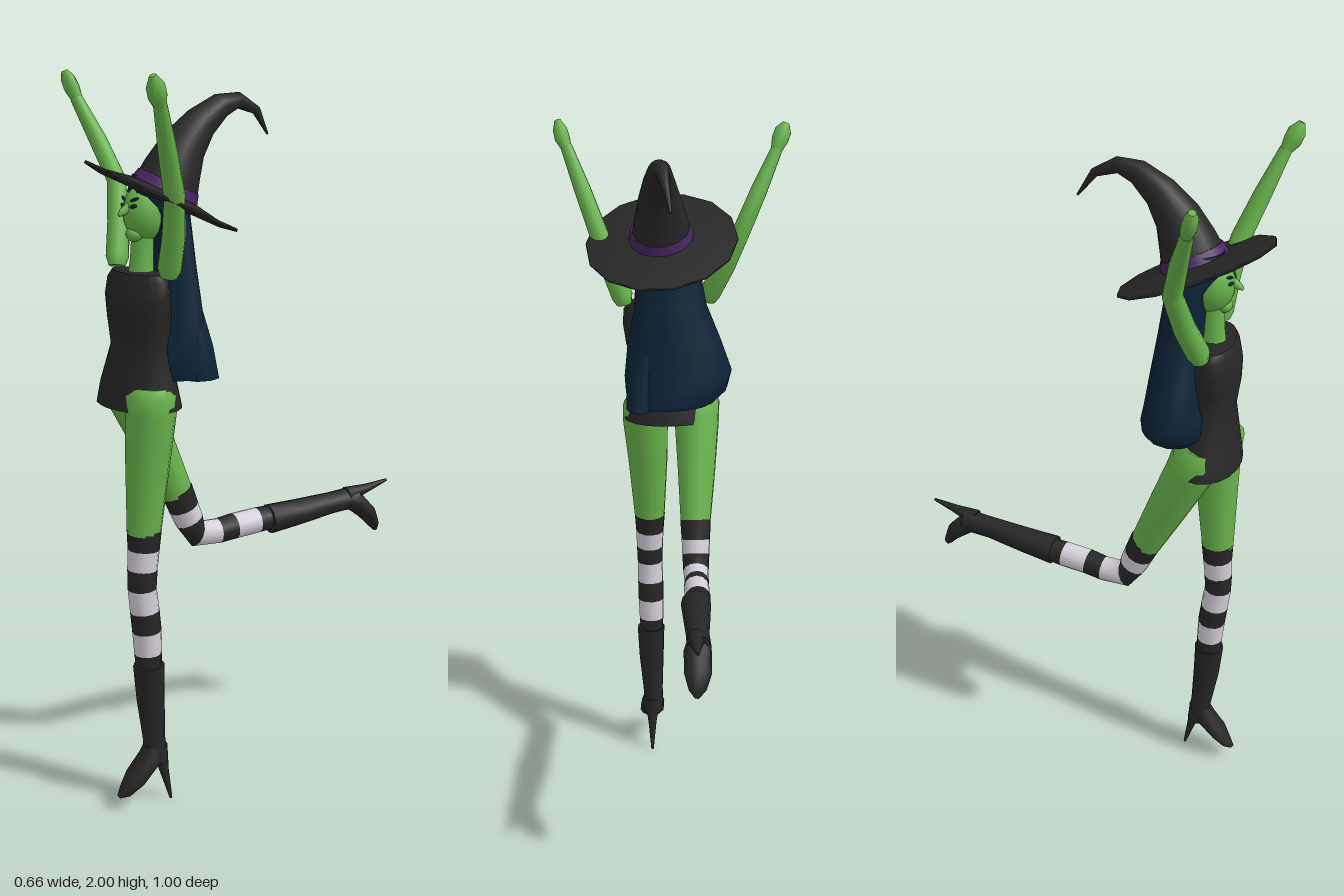
import * as THREE from 'three';

const mat = (name, color, side = THREE.FrontSide) => {
  const m = new THREE.MeshStandardMaterial({ color, side });
  m.name = name;
  return m;
};

// Loft through stations [x, y, z, rSide, rDepth = rSide]; flat keeps the rings level.
// mats is one material, or one material per span for stripes.
function loft(name, stations, mats, { sides = 12, flat = false } = {}) {
  const pos = [], index = [], groups = [];
  const list = Array.isArray(mats) ? mats : [mats];
  const pts = stations.map(s => new THREE.Vector3(s[0], s[1], s[2]));
  const n = pts.length;
  const ring = (i) => {
    const t = pts[Math.min(i + 1, n - 1)].clone().sub(pts[Math.max(i - 1, 0)]);
    if (flat) t.set(0, Math.sign(t.y), 0);
    t.normalize();
    const u = new THREE.Vector3(1, 0, 0).addScaledVector(t, -t.x).normalize();
    const v = t.clone().cross(u);
    const [, , , ru, rv = ru] = stations[i];
    for (let j = 0; j < sides; j++) {
      const a = j / sides * Math.PI * 2;
      const p = pts[i].clone().addScaledVector(u, Math.cos(a) * ru).addScaledVector(v, Math.sin(a) * rv);
      pos.push(p.x, p.y, p.z);
    }
  };
  const cap = (i, first) => {
    const base = pos.length / 3;
    ring(i);
    pos.push(...pts[i].toArray());
    for (let j = 0; j < sides; j++) {
      const a = base + j, b = base + (j + 1) % sides;
      index.push(base + sides, ...(first ? [b, a] : [a, b]));
    }
  };
  for (let i = 0; i < n; i++) ring(i);
  for (let i = 0; i < n - 1; i++) {
    const start = index.length;
    for (let j = 0; j < sides; j++) {
      const k = (j + 1) % sides;
      const a = i * sides + j, b = i * sides + k, c = a + sides, d = b + sides;
      index.push(a, b, d, a, d, c);
    }
    if (i === 0) cap(0, true);
    if (i === n - 2) cap(n - 1, false);
    groups.push([start, index.length - start, Math.min(i, list.length - 1)]);
  }
  const g = new THREE.BufferGeometry();
  g.setAttribute('position', new THREE.Float32BufferAttribute(pos, 3));
  g.setIndex(index);
  g.computeVertexNormals();
  if (list.length > 1) groups.forEach(q => g.addGroup(...q));
  const mesh = new THREE.Mesh(g, list.length > 1 ? list : mats);
  mesh.name = name;
  return mesh;
}

function ball(name, material, [x, y, z], [sx, sy, sz]) {
  const m = new THREE.Mesh(new THREE.SphereGeometry(1, 14, 10), material);
  m.position.set(x, y, z);
  m.scale.set(sx, sy, sz);
  m.name = name;
  return m;
}

export function createModel() {
  const model = new THREE.Group();
  model.name = 'witch';
  const skin = mat('green skin', 0x68b34b);
  const black = mat('black cloth', 0x262626);
  const white = mat('white stocking', 0xd6d0da);
  const hairBlue = mat('dark blue hair', 0x0b2337);
  const purple = mat('purple band', 0x4b2463);
  const add = (...parts) => model.add(...parts);

  // Dress
  add(loft('dress', [
    [0.015, 1.14, 0.34, 0.143, 0.098], [0.015, 1.19, 0.34, 0.13, 0.09], [0.03, 1.3, 0.345, 0.098, 0.064],
    [0.035, 1.37, 0.35, 0.112, 0.066], [0.035, 1.43, 0.352, 0.12, 0.064], [0.035, 1.475, 0.35, 0.117, 0.055],
    [0.035, 1.495, 0.35, 0.1, 0.045],
  ], black, { sides: 20, flat: true }));

  // Thighs, whose hips show through the torn hem
  add(loft('leftThigh', [
    [0.095, 1.2, 0.355, 0.05], [0.095, 1.18, 0.356, 0.064, 0.072], [0.092, 1.13, 0.355, 0.068],
    [0.085, 1.0, 0.362, 0.06], [0.08, 0.8, 0.375, 0.046],
  ], skin));
  add(loft('rightThigh', [
    [-0.06, 1.215, 0.335, 0.05], [-0.06, 1.185, 0.327, 0.068], [-0.056, 1.13, 0.31, 0.067],
    [-0.045, 1.0, 0.253, 0.057], [-0.03, 0.85, 0.188, 0.045],
  ], skin));

  // Striped stockings
  const stripes = Array.from({ length: 7 }, (_, i) => (i % 2 ? white : black));
  add(loft('leftStocking', [
    [0.08, 0.81, 0.374, 0.047], [0.08, 0.755, 0.377, 0.043], [0.08, 0.7, 0.382, 0.041], [0.08, 0.645, 0.384, 0.039],
    [0.08, 0.58, 0.377, 0.04], [0.08, 0.52, 0.371, 0.04], [0.08, 0.455, 0.368, 0.038], [0.08, 0.4, 0.366, 0.035],
  ], stripes));
  add(loft('rightStocking', [
    [-0.03, 0.86, 0.19, 0.046], [-0.027, 0.805, 0.168, 0.043], [-0.024, 0.765, 0.152, 0.041],
    [-0.02, 0.72, 0.128, 0.038], [-0.01, 0.717, 0.06, 0.036], [0, 0.724, 0.01, 0.037],
    [0.01, 0.729, -0.065, 0.037], [0.02, 0.732, -0.12, 0.034],
  ], stripes));

  // Boots: shaft, pointed foot and spike heel
  add(loft('leftBoot', [
    [0.082, 0.42, 0.368, 0.043], [0.082, 0.32, 0.364, 0.039], [0.08, 0.2, 0.354, 0.031], [0.08, 0.125, 0.348, 0.033],
  ], black));
  add(loft('leftFoot', [
    [0.08, 0.19, 0.348, 0.026], [0.08, 0.14, 0.368, 0.038, 0.031], [0.075, 0.09, 0.415, 0.039, 0.024],
    [0.068, 0.055, 0.445, 0.025, 0.014], [0.064, 0.042, 0.464, 0.006],
  ], black));
  add(loft('leftHeel', [[0.085, 0.17, 0.342, 0.025], [0.088, 0.09, 0.326, 0.013], [0.092, 0, 0.307, 0.004]], black));
  add(loft('rightBoot', [
    [0.022, 0.728, -0.1, 0.043], [0.038, 0.735, -0.2, 0.038], [0.056, 0.745, -0.31, 0.032], [0.067, 0.75, -0.395, 0.033],
  ], black));
  add(loft('rightFoot', [
    [0.065, 0.752, -0.35, 0.026], [0.07, 0.738, -0.39, 0.038, 0.031], [0.078, 0.695, -0.435, 0.037, 0.024],
    [0.083, 0.658, -0.456, 0.024, 0.014], [0.086, 0.638, -0.464, 0.006],
  ], black));
  add(loft('rightHeel', [[0.068, 0.762, -0.36, 0.025], [0.08, 0.774, -0.43, 0.013], [0.09, 0.789, -0.5, 0.004]], black));

  // Raised arms with hands
  add(loft('rightArm', [
    [-0.093, 1.492, 0.33, 0.022], [-0.098, 1.515, 0.325, 0.031], [-0.135, 1.6, 0.295, 0.03], [-0.18, 1.71, 0.27, 0.026],
    [-0.23, 1.81, 0.292, 0.024], [-0.287, 1.92, 0.322, 0.017],
  ], skin));
  add(loft('rightHand', [
    [-0.284, 1.915, 0.32, 0.015], [-0.297, 1.945, 0.328, 0.024, 0.02], [-0.308, 1.97, 0.334, 0.024, 0.018],
    [-0.317, 1.99, 0.338, 0.01],
  ], skin));
  add(loft('leftArm', [
    [0.152, 1.492, 0.335, 0.022], [0.157, 1.515, 0.335, 0.031], [0.188, 1.6, 0.343, 0.03], [0.22, 1.7, 0.362, 0.027],
    [0.255, 1.81, 0.405, 0.024], [0.293, 1.925, 0.452, 0.017],
  ], skin));
  add(loft('leftHand', [
    [0.292, 1.92, 0.45, 0.015], [0.302, 1.945, 0.465, 0.022, 0.024], [0.307, 1.97, 0.475, 0.02, 0.024],
    [0.312, 1.993, 0.485, 0.009],
  ], skin));

  // Neck, head and face
  add(loft('neck', [[0.033, 1.47, 0.34, 0.035], [0.034, 1.53, 0.335, 0.031], [0.036, 1.61, 0.33, 0.031]], skin));
  add(ball('head', skin, [0.038, 1.645, 0.325], [0.056, 0.075, 0.062]));
  add(ball('chin', skin, [0.038, 1.592, 0.36], [0.024, 0.02, 0.023]));
  add(loft('nose', [[0.038, 1.662, 0.375, 0.013], [0.038, 1.65, 0.395, 0.011], [0.038, 1.642, 0.407, 0.004]], skin, { sides: 8 }));
  for (const s of [-1, 1]) {
    const eye = ball('eye', hairBlue, [0.038 + s * 0.025, 1.665, 0.379], [0.011, 0.005, 0.004]);
    const brow = ball('eyebrow', hairBlue, [0.038 + s * 0.025, 1.682, 0.375], [0.015, 0.004, 0.004]);
    eye.rotation.set(0, s * 0.4, s * 0.2);
    brow.rotation.set(0, s * 0.4, s * 0.3);
    add(eye, brow);
  }

  // Long hair flaring behind the back
  add(loft('hair', [
    [0.038, 1.74, 0.285, 0.06, 0.07], [0.038, 1.695, 0.285, 0.08, 0.08], [0.037, 1.64, 0.268, 0.087, 0.058],
    [0.03, 1.5, 0.255, 0.105, 0.062], [0.02, 1.4, 0.255, 0.135, 0.075], [0.007, 1.3, 0.26, 0.158, 0.092],
    [0.012, 1.25, 0.26, 0.15, 0.102], [0.03, 1.215, 0.255, 0.125, 0.095],
  ], hairBlue, { sides: 14, flat: true }));
  // Drooping lock at the left
  add(loft('hairLock', [
    [0.1, 1.4, 0.25, 0.04, 0.05], [0.12, 1.3, 0.235, 0.045, 0.055], [0.13, 1.21, 0.215, 0.037, 0.05],
  ], hairBlue, { sides: 8, flat: true }));

  // Hat: tilted brim and band, curling crown
  const hat = new THREE.Group();
  hat.name = 'hat';
  hat.position.set(0.05, 1.685, 0.28);
  hat.rotation.set(-0.41, 0, -0.16);
  const profile = [[0, -0.008], [0.1, -0.01], [0.17, -0.014], [0.217, -0.006], [0.215, 0.002], [0.16, 0.002], [0.09, 0.014], [0, 0.014]];
  const brim = new THREE.Mesh(new THREE.LatheGeometry(profile.map(p => new THREE.Vector2(...p)), 14), black);
  brim.name = 'brim';
  const band = new THREE.Mesh(new THREE.CylinderGeometry(0.084, 0.093, 0.032, 20), purple);
  band.position.y = 0.024;
  band.name = 'hatBand';
  hat.add(brim, band);
  add(hat);
  add(loft('hatCrown', [
    [0.052, 1.7, 0.272, 0.086], [0.057, 1.75, 0.252, 0.075], [0.064, 1.81, 0.222, 0.06], [0.072, 1.865, 0.175, 0.045],
    [0.08, 1.908, 0.115, 0.032], [0.083, 1.92, 0.06, 0.021], [0.083, 1.893, 0.0, 0.012], [0.077, 1.83, -0.043, 0.003],
  ], black, { sides: 14 }));

  return model;
}
